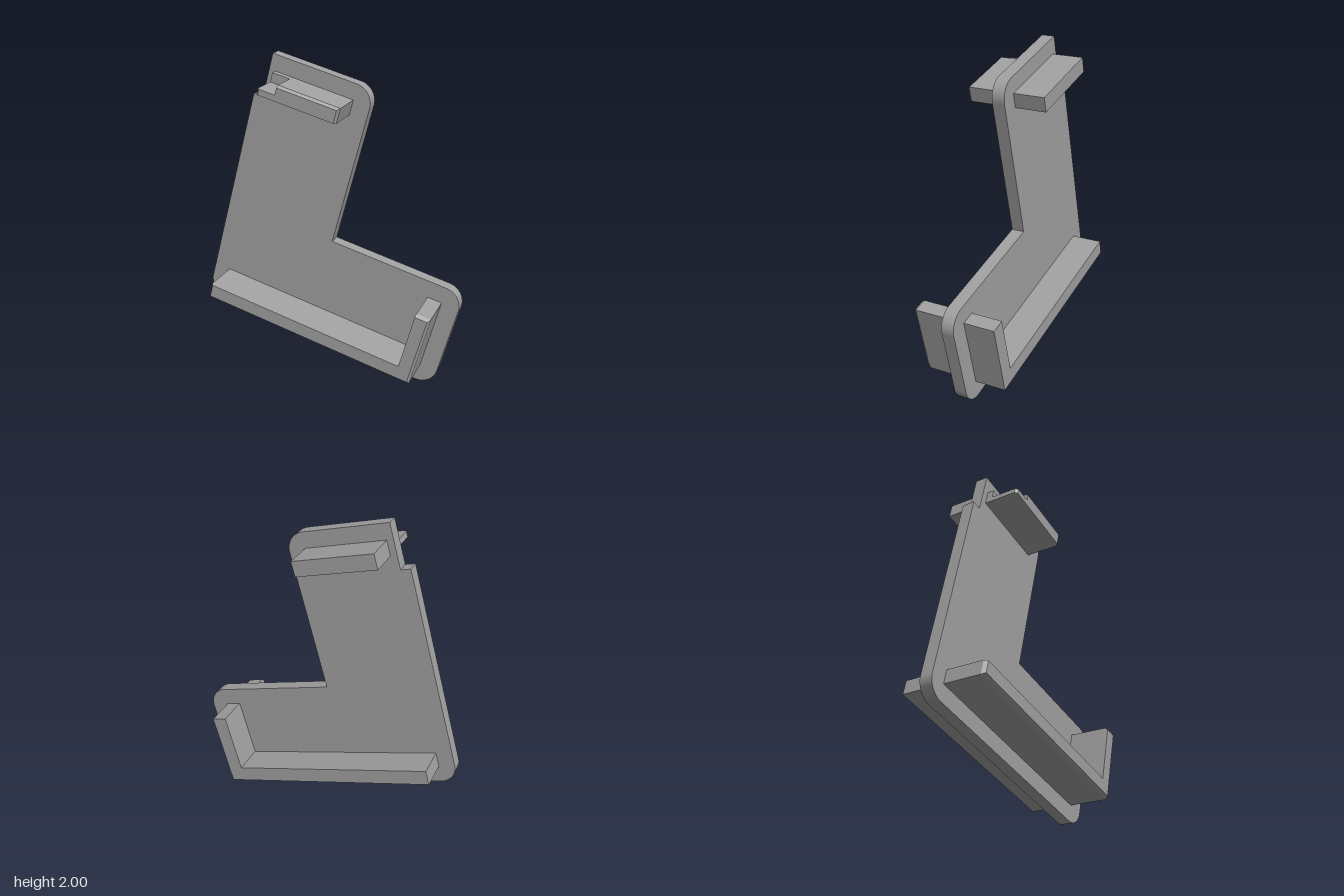
import * as THREE from 'three';

// Solid lofted through matching counter-clockwise outlines, given as [z, points] from back to front
function loft(sections) {
  const pos = [];
  const put = (p, z) => pos.push(p[0], p[1], z);
  for (let s = 0; s < sections.length - 1; s++) {
    const [z0, a] = sections[s], [z1, b] = sections[s + 1];
    for (let i = 0; i < a.length; i++) {
      const j = (i + 1) % a.length;
      put(a[i], z0); put(a[j], z0); put(b[j], z1);
      put(a[i], z0); put(b[j], z1); put(b[i], z1);
    }
  }
  // end caps
  [[sections[0], true], [sections[sections.length - 1], false]].forEach(([[z, pts], back]) => {
    const tris = THREE.ShapeUtils.triangulateShape(pts.map(p => new THREE.Vector2(...p)), []);
    for (const t of tris) (back ? [t[0], t[2], t[1]] : t).forEach(k => put(pts[k], z));
  });
  const g = new THREE.BufferGeometry();
  g.setAttribute('position', new THREE.Float32BufferAttribute(pos, 3));
  g.computeVertexNormals();
  return g;
}

export function createModel() {
  const model = new THREE.Group();
  model.name = 'bracket';
  const tilted = new THREE.Group();
  tilted.name = 'tiltedBracket';
  tilted.rotation.z = -Math.PI / 12;
  model.add(tilted);

  const grey = new THREE.MeshStandardMaterial({ color: 0xa0a0a0 });
  grey.name = 'grey';
  const add = (name, geometry) => {
    const m = new THREE.Mesh(geometry, grey);
    m.name = name;
    tilted.add(m);
  };

  // L-shaped plate with rounded corners and a stepped left edge
  const L = -0.93, R = 0.665, B = 0.152, T = 1.839, armR = -0.209, footT = 0.831, r = 0.115;
  const s = new THREE.Shape();
  s.moveTo(L + r, B);
  s.lineTo(R - r, B);
  s.absarc(R - r, B + r, r, -Math.PI / 2, 0, false);
  s.lineTo(R, footT - r);
  s.absarc(R - r, footT - r, r, 0, Math.PI / 2, false);
  s.lineTo(armR, footT);
  s.lineTo(armR, T - r);
  s.absarc(armR - r, T - r, r, 0, Math.PI / 2, false);
  s.lineTo(-0.868, T);
  s.lineTo(-0.868, 1.559);
  s.lineTo(L, 1.559);
  s.lineTo(L, B + r);
  s.absarc(L + r, B + r, r, Math.PI, Math.PI * 1.5, false);
  const plate = new THREE.ExtrudeGeometry(s, { depth: 0.081, bevelEnabled: false, curveSegments: 12 });
  plate.translate(0, 0, -0.073);
  add('plate', plate);

  // Corner rib passing through the plate, front outer edges chamfered by c
  const ribOutline = c => [
    [-0.827 + c, 0.261 + c], [0.554 - c, 0.261 + c], [0.554 - c, 0.726 - c],
    [0.462, 0.726 - c], [0.462, 0.355], [-0.827 + c, 0.355],
  ];
  add('cornerRib', loft([[-0.272, ribOutline(0)], [0.25, ribOutline(0)], [0.272, ribOutline(0.014)]]));

  // Upper rib: plain bar behind, notched and chamfered bar in front
  const l = -0.827, e = -0.317, b = 1.645, t = 1.74;
  const bar = [[l, b], [e, b], [e, t], [l, t]];
  add('upperRibBack', loft([[-0.272, bar], [0.052, bar]]));
  const notched = c => [
    [l + c, b], [e - c, b], [e - c, t - c], [-0.712, t - c], [-0.712, 1.681], [l + c, 1.681],
  ];
  add('upperRibFront', loft([[0.052, notched(0)], [0.222, notched(0)], [0.238, notched(0.014)]]));

  return model;
}
